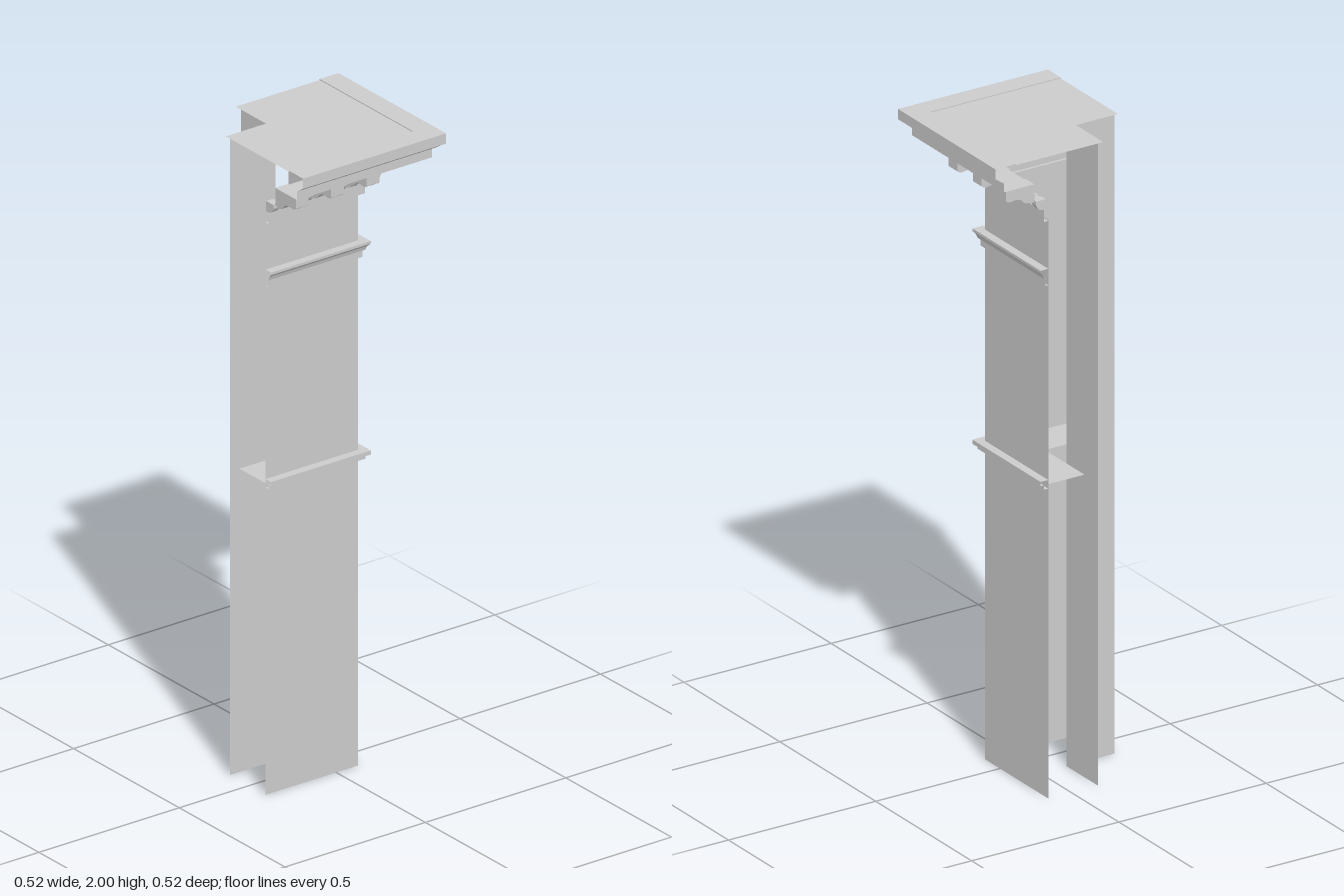
import * as THREE from 'three';

const END = -0.252;    // cut ends of the two wings
const FACE = 0.078;    // outer faces of the shaft
const material = new THREE.MeshStandardMaterial({ color: 0xcccccc, flatShading: true, side: THREE.DoubleSide });

function addMesh(parent, name, geometry) {
  const mesh = new THREE.Mesh(geometry, material);
  mesh.name = name;
  parent.add(mesh);
  return mesh;
}

// Sweeps a profile of [offset, y] points along a bent path; path(offset) gives [x, z] points.
function sweep(profile, path) {
  const pos = [];
  for (let i = 0; i < profile.length - 1; i++) {
    const [o0, y0] = profile[i], [o1, y1] = profile[i + 1];
    const low = path(o0), high = path(o1);
    for (let j = 0; j < low.length - 1; j++) {
      const a = [low[j][0], y0, low[j][1]], b = [low[j + 1][0], y0, low[j + 1][1]];
      const c = [high[j + 1][0], y1, high[j + 1][1]], d = [high[j][0], y1, high[j][1]];
      pos.push(...a, ...b, ...c, ...a, ...c, ...d);
    }
  }
  const g = new THREE.BufferGeometry();
  g.setAttribute('position', new THREE.Float32BufferAttribute(pos, 3));
  g.computeVertexNormals();
  return g;
}

const outer = o => [[END, o], [o, o], [o, END]];
const inner = o => [[o, END], [o, o], [END, o]];

// Flat L-shaped plate at height y
function plate(edge, notch, y) {
  const s = new THREE.Shape([[END, -edge], [edge, -edge], [edge, -END], [notch, -END], [notch, -notch], [END, -notch]]
    .map(p => new THREE.Vector2(...p)));
  return new THREE.ShapeGeometry(s).rotateX(-Math.PI / 2).translate(0, y, 0);
}

// Extrudes an (outward, up) shape, centred on its width
function ornament(shape, width) {
  return new THREE.ExtrudeGeometry(shape, { depth: width, bevelEnabled: false, curveSegments: 4 })
    .translate(0, 0, -width / 2);
}

export function createModel() {
  const model = new THREE.Group();
  model.name = 'cornerPilaster';

  // Shaft and the inner corner at the back
  addMesh(model, 'shaft', sweep([[FACE, 0], [FACE, 1.8]], outer));
  addMesh(model, 'backNotch', sweep([[-0.09, 0], [-0.09, 1.997]], inner));

  // Waist moulding with its inner shelf
  addMesh(model, 'waistMoulding', sweep([
    [FACE, 0.964], [0.093, 0.964], [0.093, 0.978], [0.104, 0.978], [0.104, 0.991], [FACE, 0.991]], outer));
  addMesh(model, 'waistShelf', plate(FACE, -0.045, 0.978));

  // Neck moulding
  addMesh(model, 'neckMoulding', sweep([
    [FACE, 1.597], [0.087, 1.597], [0.087, 1.617], [0.093, 1.62], [0.097, 1.632],
    [0.104, 1.64], [0.104, 1.648], [FACE, 1.648]], outer));

  // Cornice, from frieze band up to the crown
  addMesh(model, 'cornice', sweep([
    [FACE, 1.797], [0.092, 1.797], [0.092, 1.868], [0.12, 1.868], [0.13, 1.88], [0.13, 1.922],
    [0.228, 1.922], [0.228, 1.95], [0.235, 1.953], [0.251, 1.965], [0.257, 1.968],
    [0.257, 2], [0.19, 2], [0.19, 1.997]], outer));
  addMesh(model, 'topPlate', plate(0.19, -0.109, 1.997));

  // Curved bracket under the crown
  const b = new THREE.Shape();
  b.moveTo(0.125, 1.922);
  b.lineTo(0.222, 1.922);
  b.lineTo(0.222, 1.892);
  b.quadraticCurveTo(0.212, 1.883, 0.2, 1.887);
  b.quadraticCurveTo(0.175, 1.892, 0.163, 1.875);
  b.quadraticCurveTo(0.15, 1.865, 0.125, 1.868);
  const bracket = ornament(b, 0.046);

  // Small tooth with an undercut front
  const d = new THREE.Shape();
  d.moveTo(0.09, 1.87);
  d.lineTo(0.124, 1.87);
  d.lineTo(0.124, 1.858);
  d.quadraticCurveTo(0.118, 1.84, 0.1, 1.838);
  d.lineTo(0.09, 1.838);
  const dentil = ornament(d, 0.023);

  // Both wings carry the same rows
  for (const side of ['front', 'side']) {
    const row = new THREE.Group();
    row.name = side + 'Ornaments';
    const place = (name, geometry, along) => {
      const m = addMesh(row, name, geometry);
      if (side === 'front') {
        m.rotation.y = -Math.PI / 2;
        m.position.x = along;
      } else m.position.z = along;
    };
    for (let i = 0; i < 3; i++) place('bracket', bracket, -0.229 + i * 0.126);
    for (let i = 0; i < 10; i++) place('dentil', dentil, -0.247 + i * 0.04);
    model.add(row);
  }
  return model;
}
